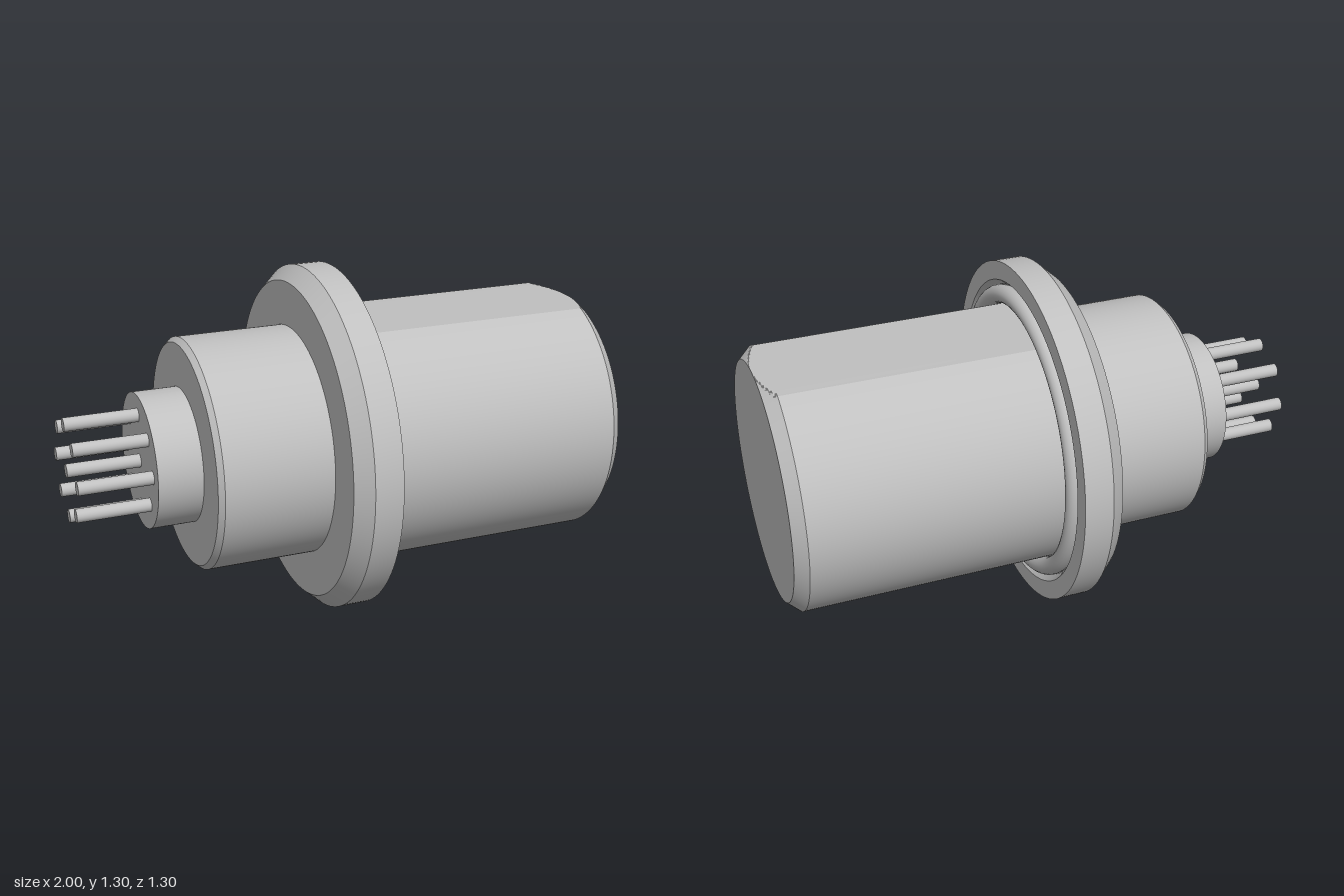
import * as THREE from 'three';
import { toCreasedNormals } from 'three/addons/utils/BufferGeometryUtils.js';

const AXIS_Y = 0.648;   // height of the common axis
const FLAT = 0.442;     // distance of the barrel flats from the axis

export function createModel() {
  const metal = new THREE.MeshStandardMaterial({ color: 0xc0c0c0 });
  metal.name = 'grey metal';
  const connector = new THREE.Group();
  connector.name = 'connector';

  function add(name, geometry, y = 0, z = 0) {
    const mesh = new THREE.Mesh(geometry, metal);
    mesh.name = name;
    mesh.position.set(0, AXIS_Y + y, z);
    connector.add(mesh);
  }

  // Solid of revolution about x from [x, radius] pairs, optionally cut by two flats
  function turned(profile, flat = Infinity) {
    const points = profile.map(([x, r]) => new THREE.Vector2(r, x));
    const g = new THREE.LatheGeometry(points, 126);
    g.rotateZ(-Math.PI / 2);
    const p = g.attributes.position;
    for (let i = 0; i < p.count; i++) {
      p.setY(i, THREE.MathUtils.clamp(p.getY(i), -flat, flat));
    }
    return toCreasedNormals(g, 0.3);
  }

  // Barrel with two flats and a chamfered end
  const barrel = [[-0.03, 0], [-0.03, 0.485], [0.955, 0.485]];
  for (let i = 1; i <= 16; i++) barrel.push([0.955 + 0.045 * i / 16, 0.485 - 0.042 * i / 16]);
  barrel.push([1, 0]);
  add('barrel', turned(barrel, FLAT));

  // Flange with chamfered rear edge and a seal groove in its front face
  add('flange', turned([
    [-0.14, 0], [-0.14, 0.595], [-0.082, 0.648], [0.025, 0.648],
    [0.025, 0.578], [0, 0.557], [-0.025, 0.557], [-0.025, 0],
  ]));

  // Seal ring lying in the groove
  const ring = new THREE.TorusGeometry(0.522, 0.035, 20, 126);
  ring.rotateY(Math.PI / 2);
  ring.translate(0.01, 0, 0);
  add('sealRing', ring);

  // Rear housing and neck
  add('rearHousing', turned([[-0.565, 0], [-0.565, 0.412], [-0.545, 0.43], [-0.13, 0.43], [-0.13, 0]]));
  add('neck', turned([[-0.73, 0], [-0.73, 0.25], [-0.55, 0.25], [-0.55, 0]]));

  // Round-ended key on the back of the neck
  const outline = new THREE.Shape();
  const r = 0.04, h = 0.035;
  outline.absarc(0, h, r, 0, Math.PI, false);
  outline.absarc(0, -h, r, Math.PI, Math.PI * 2, false);
  const key = new THREE.ExtrudeGeometry(outline, { depth: 0.07, bevelEnabled: false, curveSegments: 16 });
  key.rotateY(Math.PI / 2);
  key.translate(-0.62, 0, 0);
  add('key', toCreasedNormals(key, 0.5), 0, -0.254);

  // Contact pins: one in the centre, eight around it
  const pin = new THREE.CylinderGeometry(0.025, 0.025, 0.29, 24);
  pin.rotateZ(Math.PI / 2);
  pin.translate(-0.855, 0, 0);
  add('centrePin', pin);
  for (let i = 0; i < 8; i++) {
    const a = i * Math.PI / 4;
    add('pin', pin, 0.175 * Math.sin(a), 0.175 * Math.cos(a));
  }

  return connector;
}
